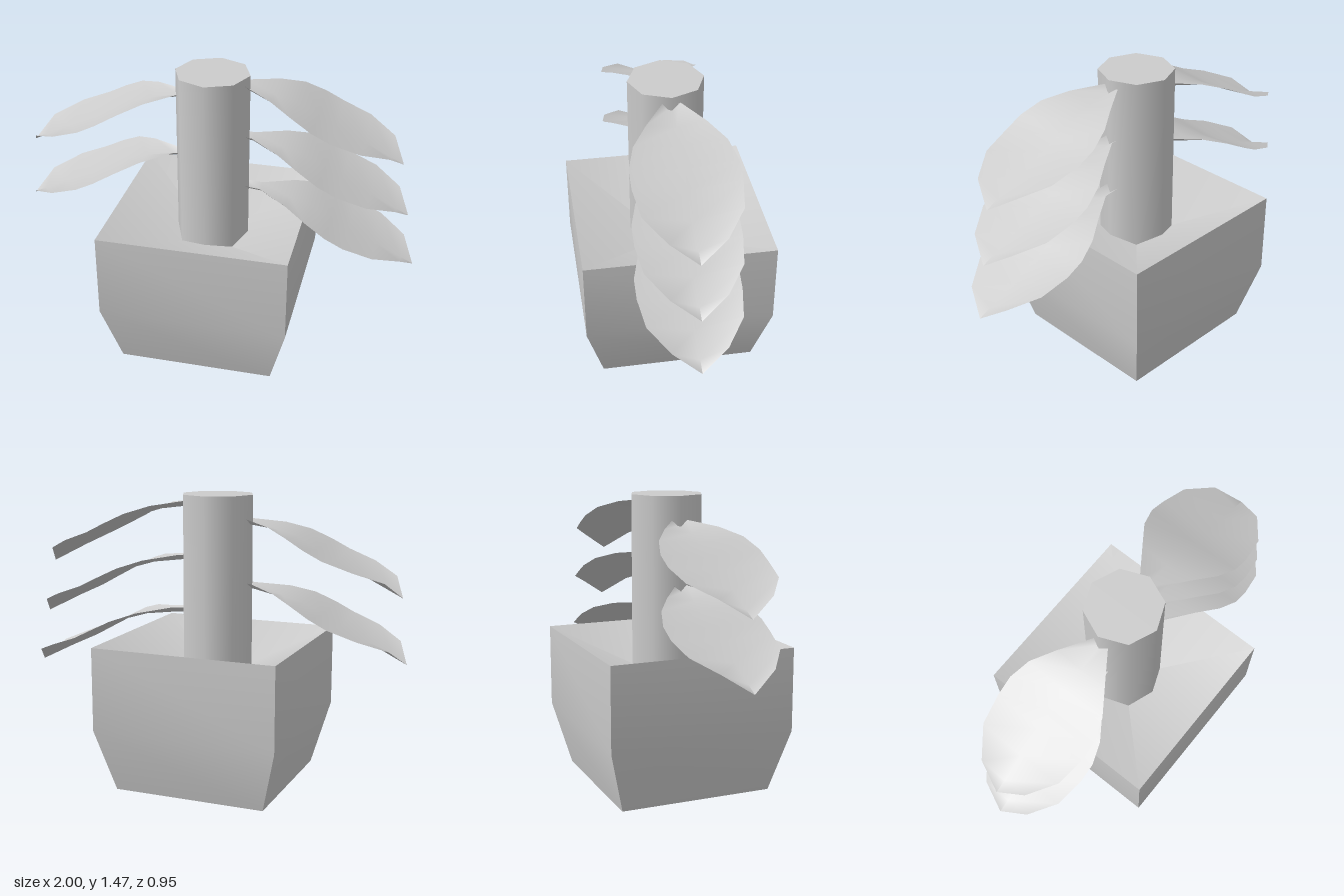
import * as THREE from 'three';
import { toCreasedNormals } from 'three/addons/utils/BufferGeometryUtils.js';

const AXIS_X = -0.028;

// Cross-sections from tip to stalk: [distance from tip, half width, edge height, midrib height]
const SECTIONS = [
  [0, 0, 0, 0],
  [0.06, 0.13, 0.085, 0.03],
  [0.19, 0.225, 0.14, 0.095],
  [0.33, 0.248, 0.19, 0.16],
  [0.42, 0.248, 0.235, 0.21],
  [0.52, 0.215, 0.285, 0.265],
  [0.63, 0.14, 0.322, 0.298],
  [0.78, 0.037, 0.345, 0.318],
  [0.86, 0.035, 0.352, 0.326],
];

// Shallow V-shaped drooping leaf, origin at the tip, pointing along +x
function leafGeometry() {
  const pos = [], idx = [];
  SECTIONS.forEach(([s, w, edge, mid], i) => {
    pos.push(-s, edge, -w, -s, mid, 0, -s, edge, w);
    if (i === SECTIONS.length - 1) return;
    for (let j = 0; j < 2; j++) {
      const a = i * 3 + j;
      idx.push(a, a + 3, a + 1, a + 1, a + 3, a + 4);
    }
  });
  const g = new THREE.BufferGeometry();
  g.setAttribute('position', new THREE.Float32BufferAttribute(pos, 3));
  g.setIndex(idx);
  g.computeVertexNormals();
  return g;
}

export function createModel() {
  const group = new THREE.Group();
  const grey = new THREE.MeshStandardMaterial({ color: 0xcccccc });
  const thin = new THREE.MeshStandardMaterial({ color: 0xcccccc, side: THREE.DoubleSide });
  const add = (name, geometry, material, x, y) => {
    const mesh = new THREE.Mesh(geometry, material);
    mesh.name = name;
    mesh.position.set(x, y, 0);
    group.add(mesh);
    return mesh;
  };

  // Square pot: tapered foot, straight walls, top sunk towards the stem
  const profile = [[0, 0], [0.39, 0], [0.473, 0.32], [0.473, 0.742], [0, 0.52]]
    .map(([r, y]) => new THREE.Vector2(r * Math.SQRT2, y));
  const pot = new THREE.LatheGeometry(profile, 4, Math.PI / 4);
  add('pot', toCreasedNormals(pot, 0.7), grey, AXIS_X, 0);

  // Eight-sided stem
  const bottom = 0.5, top = 1.467;
  add('stem', new THREE.CylinderGeometry(0.185, 0.185, top - bottom, 8), grey, AXIS_X, (top + bottom) / 2);

  // Leaves, placed by their tips
  const leaf = leafGeometry();
  const tips = [[0.91, 1.085], [0.955, 0.81], [1, 0.535], [-0.97, 1.005], [-1, 0.685]];
  for (const [x, y] of tips) {
    const mesh = add(x > 0 ? 'leftLeaf' : 'rightLeaf', leaf, thin, x, y);
    if (x < 0) mesh.rotation.y = Math.PI;
  }
  return group;
}
